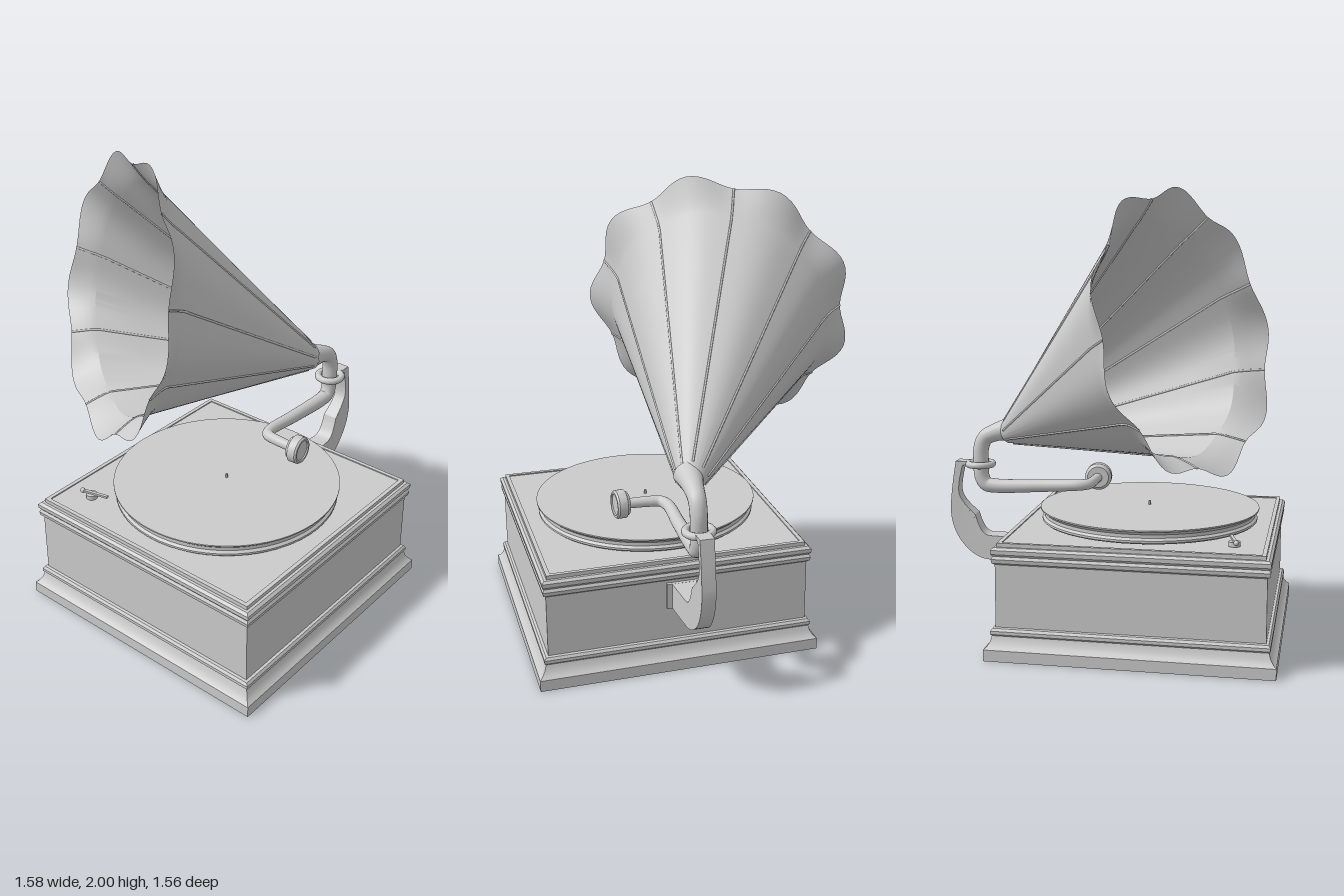
import * as THREE from 'three';
import { toCreasedNormals } from 'three/addons/utils/BufferGeometryUtils.js';

const CX = 0.17, CZ = 0.16;   // centre of the cabinet and turntable
const PX = 0.155;             // plane of the tone arm and bracket
const LOBES = 9, PHASE = THREE.MathUtils.degToRad(9);
const V = (x, y, z) => new THREE.Vector3(x, y, z);
const P2 = (list) => list.map(([x, y]) => new THREE.Vector2(x, y));

const grey = new THREE.MeshStandardMaterial({ color: 0xcccccc });
const greyDouble = new THREE.MeshStandardMaterial({ color: 0xcccccc, side: THREE.DoubleSide });

function add(parent, name, geometry, x = 0, y = 0, z = 0, material = grey) {
  const mesh = new THREE.Mesh(geometry, material);
  mesh.name = name;
  mesh.position.set(x, y, z);
  parent.add(mesh);
  return mesh;
}

// Tube whose radius follows radiusAt(t)
function taperedTube(points, radiusAt, steps = 60, sides = 20) {
  const curve = new THREE.CatmullRomCurve3(points, false, 'centripetal');
  const geo = new THREE.TubeGeometry(curve, steps, 1, sides);
  const pos = geo.attributes.position, p = V(0, 0, 0);
  for (let i = 0; i < pos.count; i++) {
    const t = Math.floor(i / (sides + 1)) / steps;
    const c = curve.getPointAt(t);
    p.fromBufferAttribute(pos, i).sub(c).multiplyScalar(radiusAt(t)).add(c);
    pos.setXYZ(i, p.x, p.y, p.z);
  }
  return geo;
}

// Horn surface: v = 0 at the neck, 1 at the fold, 2 at the scalloped rim
const NECK = V(0.15, 0.895, -0.5), FOLD = V(-0.22, 1.365, 0.29), RIM = V(-0.25, 1.4, 0.385);
const DOWN = V(-0.105, -0.974, 0.199), SIDE = V(0.885, 0, 0.466);
function hornPoint(angle, v) {
  const lobe = 0.5 + 0.5 * Math.cos(LOBES * (angle - PHASE));
  const foldR = 0.49 + 0.012 * lobe, rimR = 0.565 + 0.055 * lobe;
  const c = V(0, 0, 0);
  let r;
  if (v <= 1) {
    c.lerpVectors(NECK, FOLD, v);
    r = THREE.MathUtils.lerp(0.055, foldR, v);
  } else {
    c.lerpVectors(FOLD, RIM, v - 1);
    r = THREE.MathUtils.lerp(foldR, rimR, Math.pow(v - 1, 1.15));
  }
  return c.addScaledVector(DOWN, r * Math.cos(angle)).addScaledVector(SIDE, r * Math.sin(angle));
}

function hornGeometry() {
  const rows = [0, 0.2, 0.4, 0.6, 0.8, 1, 1.25, 1.5, 1.75, 2], around = LOBES * 14;
  const geo = new THREE.PlaneGeometry(1, 1, around, rows.length - 1);
  const pos = geo.attributes.position;
  for (let i = 0; i < pos.count; i++) {
    const a = (i % (around + 1)) / around * Math.PI * 2;
    const p = hornPoint(a, rows[Math.floor(i / (around + 1))]);
    pos.setXYZ(i, p.x, p.y, p.z);
  }
  return toCreasedNormals(geo, 0.3);
}

function buildCabinet(group) {
  // Square moulded profile, from the hollow underside round to the top
  const profile = P2([
    [0, 0.47], [0.49, 0.47], [0.49, 0.43], [0.56, 0.43], [0.56, 0.12], [0.605, 0.04], [0.605, 0],
    [0.62, 0], [0.62, 0.05], [0.608, 0.06], [0.595, 0.08], [0.588, 0.105], [0.594, 0.112],
    [0.594, 0.126], [0.586, 0.137], [0.575, 0.14], [0.575, 0.415], [0.586, 0.423], [0.589, 0.44],
    [0.582, 0.452], [0.59, 0.462], [0.591, 0.48], [0.58, 0.49], [0.568, 0.49], [0.568, 0.507],
    [0.55, 0.507], [0.55, 0.502], [0, 0.502],
  ].map(([r, y]) => [r * Math.SQRT2, y]));
  const geo = new THREE.LatheGeometry(profile, 4).rotateY(Math.PI / 4);
  add(group, 'cabinet', toCreasedNormals(geo, 0.6), CX, 0, CZ);
}

function buildTurntable(group) {
  const profile = P2([
    [0, 0.51], [0.485, 0.51], [0.492, 0.516], [0.492, 0.525], [0.482, 0.535], [0.482, 0.55],
    [0.49, 0.56], [0.5, 0.565], [0.5, 0.571], [0, 0.571],
  ]);
  add(group, 'turntable', toCreasedNormals(new THREE.LatheGeometry(profile, 72), 0.6), CX, 0, CZ);
  add(group, 'spindle', new THREE.CylinderGeometry(0.005, 0.005, 0.03, 12), CX, 0.575, CZ);

  // Brake lever on the deck
  const brake = new THREE.Group();
  brake.name = 'brake';
  brake.position.set(-0.25, 0.505, 0.585);
  brake.rotation.y = 0.25;
  add(brake, 'brakePivot', new THREE.CylinderGeometry(0.025, 0.025, 0.02, 20), 0, 0.01, 0);
  add(brake, 'brakeLever', new THREE.BoxGeometry(0.12, 0.01, 0.014), 0.02, 0.024, 0);
  add(brake, 'brakeKnob', new THREE.SphereGeometry(0.012, 12, 8), -0.045, 0.024, 0);
  group.add(brake);
}

function buildBracket(group) {
  // Side outline drawn as (distance behind centre, height)
  const s = new THREE.Shape();
  s.moveTo(0.41, 0.287);
  s.lineTo(0.59, 0.287);
  s.bezierCurveTo(0.69, 0.287, 0.785, 0.4, 0.78, 0.53);
  s.quadraticCurveTo(0.775, 0.62, 0.752, 0.75);
  s.lineTo(0.7, 0.75);
  s.lineTo(0.7, 0.735);
  s.lineTo(0.72, 0.73);
  s.quadraticCurveTo(0.75, 0.62, 0.735, 0.585);
  s.quadraticCurveTo(0.72, 0.55, 0.66, 0.5);
  s.bezierCurveTo(0.64, 0.43, 0.62, 0.402, 0.585, 0.402);
  s.lineTo(0.41, 0.402);
  const geo = new THREE.ExtrudeGeometry(s, { depth: 0.06, bevelEnabled: false, curveSegments: 14 });
  geo.translate(0, 0, -0.03).rotateY(Math.PI / 2);
  // Widen towards the cabinet
  const pos = geo.attributes.position;
  for (let i = 0; i < pos.count; i++) {
    const k = THREE.MathUtils.clamp((pos.getZ(i) + 0.72) / 0.3, 0, 1);
    pos.setX(i, pos.getX(i) * (1 + 0.8 * k));
  }
  add(group, 'bracket', toCreasedNormals(geo, 0.5), PX);
  add(group, 'bracketPlate', new THREE.BoxGeometry(0.15, 0.115, 0.02), PX, 0.345, -0.42);
  add(group, 'supportRing', new THREE.TorusGeometry(0.056, 0.016, 12, 40).rotateX(Math.PI / 2), PX, 0.736, -0.64);
}

function buildToneArm(group) {
  const arm = [
    V(0.33, 0.655, -0.115), V(0.22, 0.655, -0.12), V(0.175, 0.654, -0.13), V(PX, 0.652, -0.17),
    V(PX, 0.642, -0.35), V(PX, 0.634, -0.57), V(PX, 0.642, -0.615), V(PX, 0.68, -0.635), V(PX, 0.74, -0.637),
  ];
  add(group, 'toneArm', taperedTube(arm, (t) => 0.022 + 0.014 * t));
  const elbow = [
    V(PX, 0.73, -0.637), V(PX, 0.81, -0.636), V(PX, 0.86, -0.615), V(0.153, 0.885, -0.57),
    V(0.15, 0.9, -0.52), V(0.145, 0.912, -0.47),
  ];
  add(group, 'elbow', taperedTube(elbow, (t) => 0.036 + 0.03 * Math.pow(t, 4)));

  // Sound box at the end of the arm
  const box = P2([[0, -0.03], [0.05, -0.03], [0.056, -0.02], [0.063, -0.015], [0.063, 0.022],
    [0.057, 0.03], [0.048, 0.03], [0.046, 0.024], [0, 0.024]]);
  const geo = toCreasedNormals(new THREE.LatheGeometry(box, 32), 0.6).rotateZ(-Math.PI / 2);
  add(group, 'soundBox', geo, 0.35, 0.657, -0.115).rotation.y = 0.08;
}

function buildHorn(group) {
  const horn = new THREE.Group();
  horn.name = 'horn';
  add(horn, 'hornBell', hornGeometry(), 0, 0, 0, greyDouble);
  // Raised seams between the petals
  for (let i = 0; i < LOBES; i++) {
    const a = PHASE + (i + 0.5) / LOBES * Math.PI * 2;
    const line = [0.03, 0.5, 0.96, 1, 1.3, 1.65, 2].map((v) => hornPoint(a, v));
    add(horn, 'hornSeam', taperedTube(line, () => 0.005, 24, 6));
  }
  group.add(horn);
}

export function createModel() {
  const model = new THREE.Group();
  model.name = 'hornRecordPlayer';
  buildCabinet(model);
  buildTurntable(model);
  buildBracket(model);
  buildToneArm(model);
  buildHorn(model);
  return model;
}
